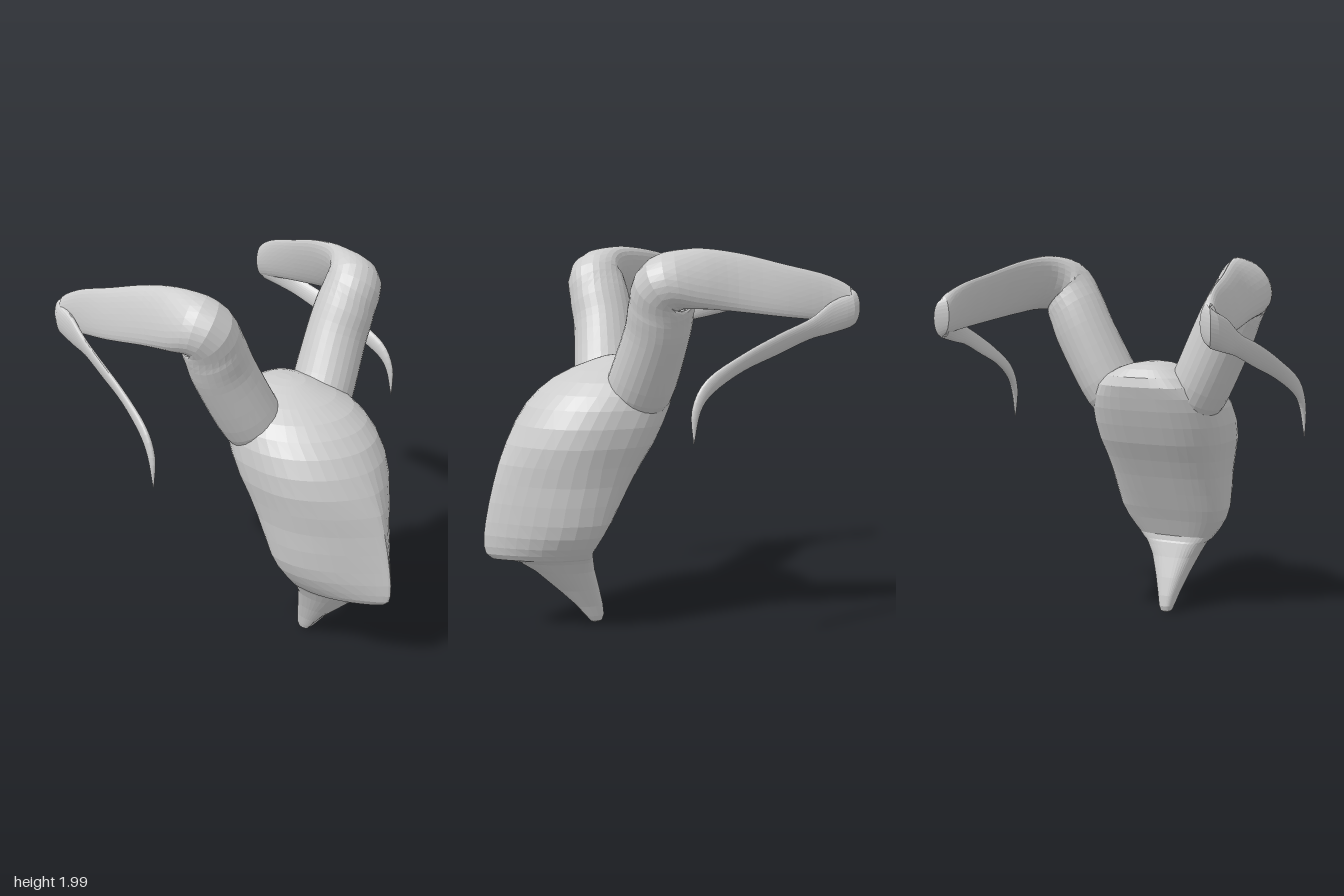
import * as THREE from 'three';

const material = new THREE.MeshStandardMaterial({ color: 0xcccccc, flatShading: true });

// Skin a list of closed rings (each counter-clockwise about the travel direction), with capped ends.
function loft(rings, name, flip = false) {
  const n = rings[0].length, pos = [], idx = [];
  const add = (p) => pos.push(flip ? -p.x : p.x, p.y, p.z);
  const tri = (a, b, c) => (flip ? idx.push(a, c, b) : idx.push(a, b, c));
  rings.forEach((ring) => ring.forEach(add));
  const centre = (ring) => ring.reduce((s, p) => s.add(p), new THREE.Vector3()).divideScalar(n);
  add(centre(rings[0]));
  add(centre(rings[rings.length - 1]));
  const last = (rings.length - 1) * n, first = rings.length * n;
  for (let j = 0; j < n; j++) {
    const k = (j + 1) % n;
    for (let i = 0; i < last; i += n) {
      tri(i + j, i + k, i + n + j);
      tri(i + k, i + n + k, i + n + j);
    }
    tri(first, k, j);
    tri(first + 1, last + j, last + k);
  }
  const geo = new THREE.BufferGeometry();
  geo.setAttribute('position', new THREE.Float32BufferAttribute(pos, 3));
  geo.setIndex(idx);
  geo.computeVertexNormals();
  const mesh = new THREE.Mesh(geo, material);
  mesh.name = name;
  return mesh;
}

// Head slices from crown to chin: y, front z, back z, z of widest point, half width, front sharpness
const slices = [
  [1.44, 0.15, 0.05, 0.1, 0.03, 1],
  [1.43, 0.22, -0.03, 0.1, 0.1, 1],
  [1.41, 0.28, -0.08, 0.1, 0.16, 1],
  [1.37, 0.39, -0.12, 0.13, 0.235, 1],
  [1.32, 0.49, -0.13, 0.17, 0.3, 1],
  [1.26, 0.57, -0.11, 0.2, 0.345, 1],
  [1.19, 0.64, -0.085, 0.25, 0.368, 1.05],
  [1.1, 0.7, -0.045, 0.3, 0.378, 1.1],
  [1.0, 0.755, 0.005, 0.34, 0.372, 1.3],
  [0.9, 0.8, 0.07, 0.36, 0.352, 1.6],
  [0.8, 0.83, 0.13, 0.37, 0.335, 1.9],
  [0.7, 0.855, 0.185, 0.39, 0.325, 2.2],
  [0.6, 0.875, 0.24, 0.4, 0.312, 2.45],
  [0.53, 0.885, 0.28, 0.41, 0.287, 2.5],
  [0.47, 0.885, 0.31, 0.42, 0.25, 2.5],
  [0.43, 0.875, 0.33, 0.42, 0.22, 2.4],
  [0.4, 0.84, 0.325, 0.42, 0.195, 2.2],
  [0.39, 0.77, 0.32, 0.42, 0.18, 1.9],
  [0.37, 0.7, 0.315, 0.42, 0.165, 1.6],
  [0.31, 0.61, 0.3, 0.42, 0.132, 1.3],
  [0.2, 0.49, 0.268, 0.37, 0.088, 1.1],
  [0.1, 0.4, 0.243, 0.32, 0.055, 1],
  [0.04, 0.35, 0.235, 0.29, 0.04, 1],
  [0.01, 0.32, 0.245, 0.28, 0.03, 1],
  [0, 0.3, 0.26, 0.28, 0.015, 1],
];

function makeHead() {
  const n = 40;
  const rings = slices.map(([y, front, back, mid, w, sharp]) => {
    const ridge = Math.min(0.05, w); // rounded nose ridge
    const ring = [];
    for (let j = 0; j < n; j++) {
      const a = (j / n) * Math.PI * 2, c = Math.cos(a), s = Math.abs(Math.sin(a));
      const side = -Math.sign(Math.sin(a));
      if (c > 0) {
        // small cleft down the front of the chin tip
        const cleft = 0.035 * (1 - THREE.MathUtils.smoothstep(y, 0.03, 0.18)) * Math.pow(c, 14);
        const x = (w - ridge) * Math.pow(s, sharp) + ridge * s;
        ring.push(new THREE.Vector3(side * x, y, mid + c * (front - mid) - cleft));
      } else {
        // broad, flattened back
        ring.push(new THREE.Vector3(side * w * Math.pow(s, 0.65), y, mid - Math.pow(-c, 0.65) * (mid - back)));
      }
    }
    return ring;
  });
  return loft(rings, 'head');
}

// Horn sections: upper edge xyz, lower edge xyz, half thickness across
const hornSections = [
  [0.06, 1.32, 0.15, 0.29, 1.13, 0.16, 0.14],
  [0.12, 1.38, 0.115, 0.385, 1.2, 0.125, 0.175],
  [0.25, 1.64, 0.085, 0.535, 1.485, 0.085, 0.165],
  [0.33, 1.8, 0.085, 0.585, 1.61, 0.085, 0.165],
  [0.42, 1.935, 0.06, 0.62, 1.71, 0.1, 0.15],
  [0.515, 1.99, -0.05, 0.65, 1.71, -0.03, 0.08],
  [0.575, 1.975, -0.25, 0.665, 1.69, -0.23, 0.042],
  [0.635, 1.915, -0.5, 0.695, 1.66, -0.48, 0.03],
  [0.675, 1.86, -0.72, 0.7, 1.635, -0.72, 0.03],
  [0.708, 1.79, -0.835, 0.71, 1.61, -0.835, 0.042],
  [0.737, 1.73, -0.7, 0.73, 1.575, -0.7, 0.025],
  [0.757, 1.655, -0.58, 0.737, 1.55, -0.58, 0.02],
  [0.79, 1.59, -0.4, 0.76, 1.485, -0.4, 0.019],
  [0.817, 1.505, -0.2, 0.79, 1.415, -0.2, 0.019],
  [0.845, 1.39, 0.01, 0.83, 1.325, -0.03, 0.019],
  [0.852, 1.25, 0.09, 0.85, 1.24, 0.045, 0.016],
  [0.858, 1.09, 0.085, 0.858, 1.09, 0.08, 0.003],
];

function makeHorn(name, flip) {
  const curve = (f) => new THREE.CatmullRomCurve3(hornSections.map(f), false, 'catmullrom', 0.5);
  const upper = curve((s) => new THREE.Vector3(s[0], s[1], s[2]));
  const lower = curve((s) => new THREE.Vector3(s[3], s[4], s[5]));
  const thick = curve((s) => new THREE.Vector3(s[6], 0, 0));
  const centre = (t) => upper.getPoint(t).add(lower.getPoint(t)).multiplyScalar(0.5);
  const steps = (hornSections.length - 1) * 4, n = 28, rings = [];
  for (let i = 0; i <= steps; i++) {
    const t = i / steps, c = centre(t);
    const along = centre(Math.min(1, t + 0.008)).sub(centre(Math.max(0, t - 0.008)));
    const u = lower.getPoint(t).sub(c);
    const v = along.cross(u).normalize().multiplyScalar(thick.getPoint(t).x);
    const ring = [];
    for (let j = 0; j < n; j++) {
      const a = (j / n) * Math.PI * 2;
      ring.push(c.clone().addScaledVector(u, Math.cos(a)).addScaledVector(v, Math.sin(a)));
    }
    rings.push(ring);
  }
  return loft(rings, name, flip);
}

export function createModel() {
  const model = new THREE.Group();
  model.name = 'hornedHead';
  model.add(makeHead(), makeHorn('leftHorn', false), makeHorn('rightHorn', true));
  return model;
}
